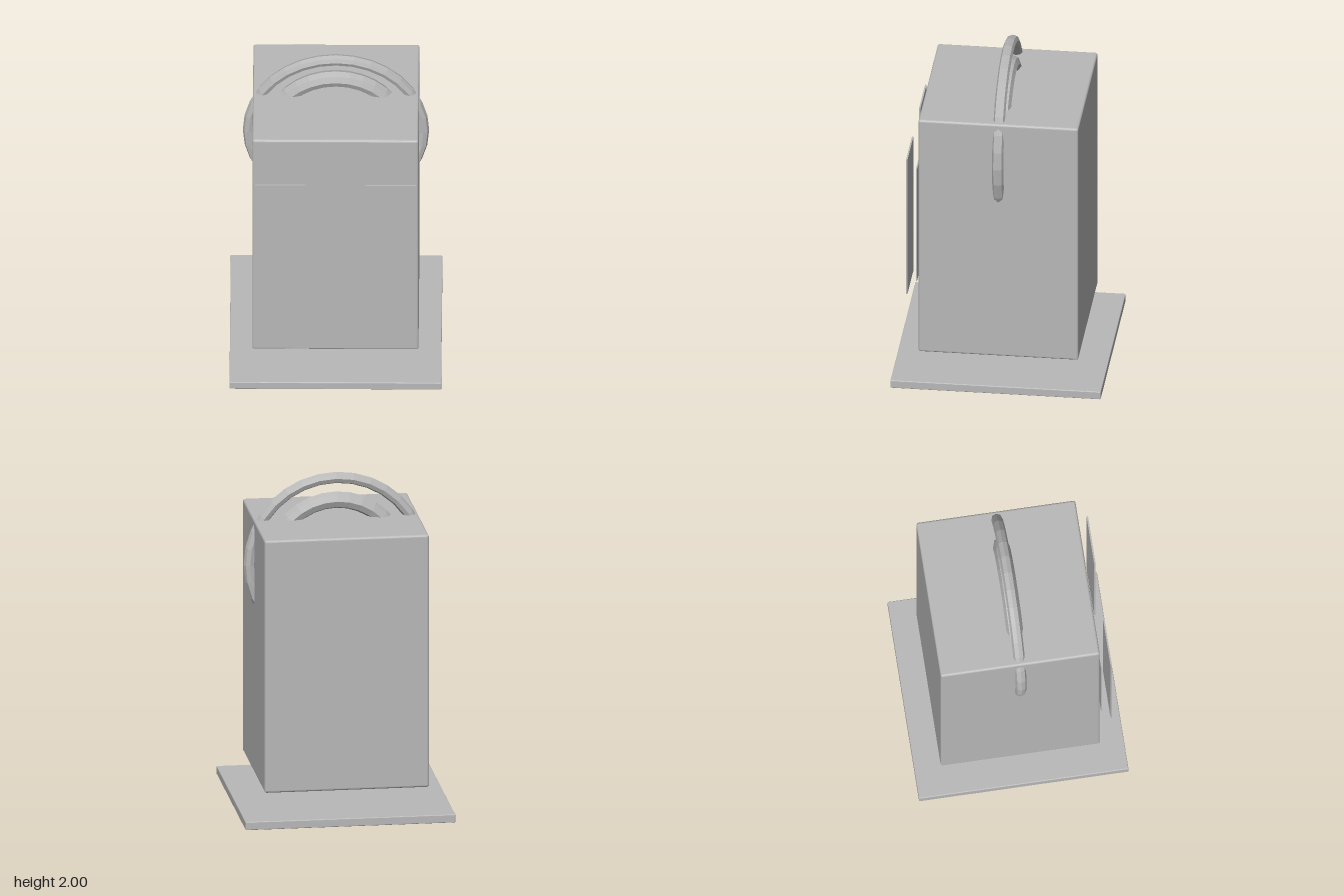
import * as THREE from 'three';
import { RoundedBoxGeometry } from 'three/addons/geometries/RoundedBoxGeometry.js';

export function createModel() {
  const model = new THREE.Group();
  const grey = new THREE.MeshStandardMaterial({ color: 0xb8b8b8, flatShading: true });
  grey.name = 'plain grey';

  const add = (name, geometry, x, y, z) => {
    const mesh = new THREE.Mesh(geometry, grey);
    mesh.name = name;
    mesh.position.set(x, y, z);
    model.add(mesh);
  };

  // Square base slab, with a gap below the body
  add('base', new RoundedBoxGeometry(1.25, 0.05, 1.25, 2, 0.005), 0, 0.025, 0);

  // Tall block with slightly softened edges
  add('body', new RoundedBoxGeometry(0.98, 1.545, 0.95, 3, 0.014), 0, 0.9525, 0);

  // Two concentric rings sunk into the top of the body
  add('outerRing', new THREE.TorusGeometry(0.516, 0.034, 8, 32), 0, 1.45, 0);
  add('innerRing', new THREE.TorusGeometry(0.38, 0.05, 8, 32), 0, 1.45, 0);

  // Pairs of thin plates standing off the front face
  for (const [side, s] of [['left', 1], ['right', -1]]) {
    add(side + 'OuterPanel', new THREE.BoxGeometry(0.298, 0.895, 0.009), s * 0.327, 1.0025, 0.545);
    add(side + 'InnerPanel', new THREE.BoxGeometry(0.245, 0.745, 0.007), s * 0.327, 1.0025, 0.491);
  }
  return model;
}
